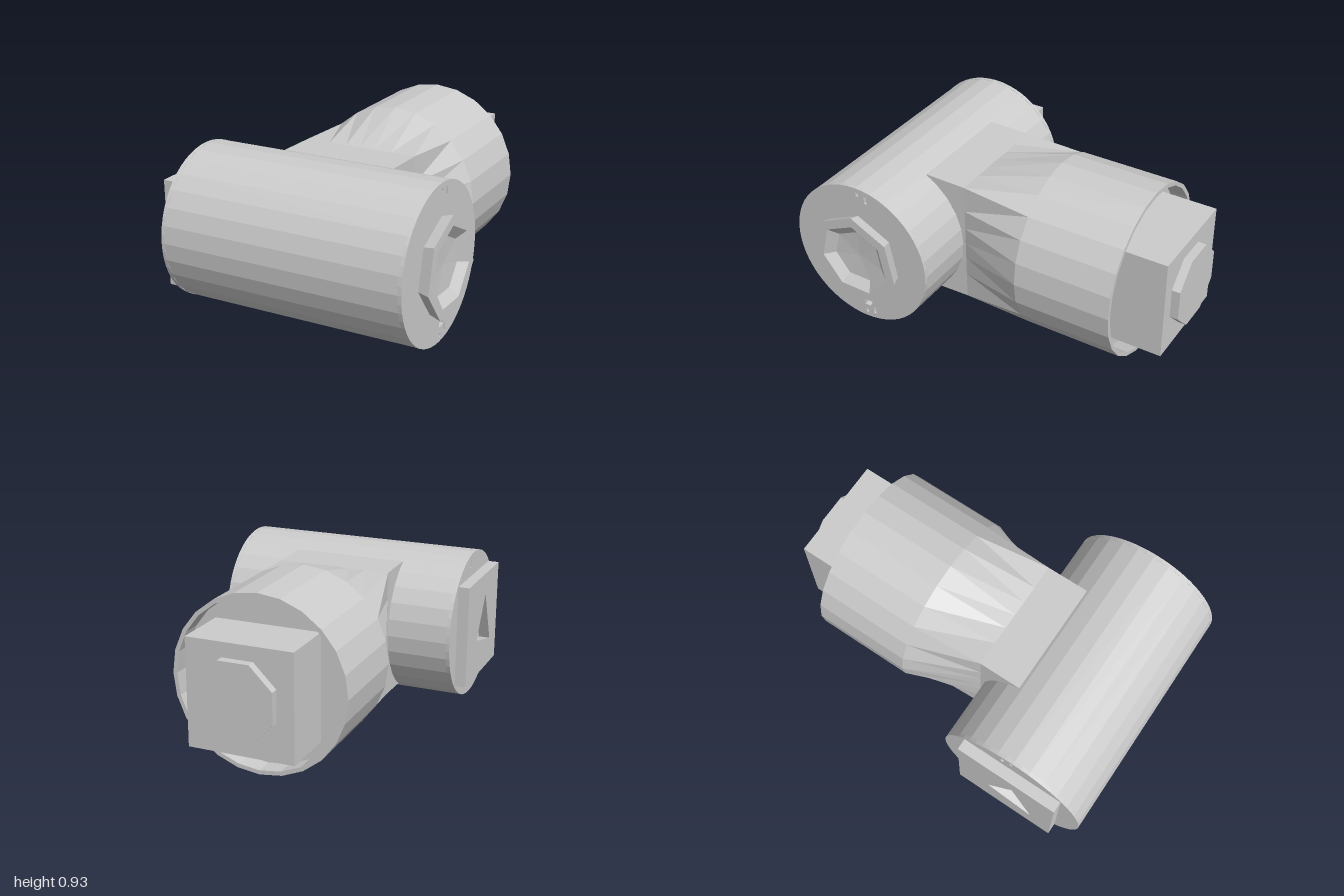
import * as THREE from 'three';

const material = new THREE.MeshStandardMaterial({ color: 0xcccccc, flatShading: true, side: THREE.DoubleSide });
const MID_Y = 0.47, BAR_Z = 0.59, BAR_R = 0.405, BAR_HALF = 0.655;

function add(parent, name, geometry, x = 0, y = 0, z = 0) {
  const mesh = new THREE.Mesh(geometry, material);
  mesh.name = name;
  mesh.position.set(x, y, z);
  parent.add(mesh);
  return mesh;
}

// Closed polygon path from [x, y] corners
const polygon = (points, Type = THREE.Path) => new Type(points.map(([x, y]) => new THREE.Vector2(x, y)));
const rect = (cx, cy, w, h, Type) => polygon(
  [[cx - w / 2, cy - h / 2], [cx + w / 2, cy - h / 2], [cx + w / 2, cy + h / 2], [cx - w / 2, cy + h / 2]], Type);

// Extrudes a shape drawn in (-z, y) along x
function extrudeX(shape, depth) {
  const g = new THREE.ExtrudeGeometry(shape, { depth, bevelEnabled: false, curveSegments: 28 });
  return g.rotateY(Math.PI / 2);
}

// Skin through rings of equal point count, stacked along z
function loft(rings) {
  const n = rings[0].length, positions = [], index = [];
  rings.forEach((ring) => ring.forEach((p) => positions.push(...p)));
  for (let i = 0; i < rings.length - 1; i++) {
    for (let j = 0; j < n; j++) {
      const a = i * n + j, b = i * n + (j + 1) % n;
      index.push(a, b, a + n, b, b + n, a + n);
    }
  }
  const g = new THREE.BufferGeometry();
  g.setAttribute('position', new THREE.Float32BufferAttribute(positions, 3));
  g.setIndex(index);
  g.computeVertexNormals();
  return g;
}

const SIDES = 24;
const ring = (point) => Array.from({ length: SIDES }, (_, i) => {
  const t = (i / SIDES) * Math.PI * 2;
  return point(Math.cos(t), Math.sin(t));
});
const circleRing = (z, r) => ring((c, s) => [c * r, MID_Y + s * r, z]);
const boxRing = (z, hx, hy) => ring((c, s) => {
  const m = Math.max(Math.abs(c), Math.abs(s));
  return [(c / m) * hx, 0.48 + (s / m) * hy, z];
});

export function createModel() {
  const model = new THREE.Group();
  model.name = 'jointHousing';

  // Crosswise drum with slotted end caps
  const drum = new THREE.Group();
  drum.name = 'crossDrum';
  drum.position.set(0, MID_Y, BAR_Z);
  model.add(drum);
  add(drum, 'drumShell',
    new THREE.CylinderGeometry(BAR_R, BAR_R, BAR_HALF * 2, 28, 1, true).rotateZ(-Math.PI / 2));
  const cap = new THREE.Shape().absarc(0, 0, BAR_R, 0, Math.PI * 2);
  for (const side of [1, -1]) {
    cap.holes.push(rect(0.03, side * 0.305, 0.06, 0.05));
    cap.holes.push(rect(0.06, side * 0.35, 0.015, 0.04));
    cap.holes.push(rect(0.01, side * 0.37, 0.015, 0.02));
  }
  const capGeometry = extrudeX(cap, 0.02);
  add(drum, 'leftCap', capGeometry, BAR_HALF - 0.02);
  add(drum, 'rightCap', capGeometry, -BAR_HALF);

  // Dished seven-sided hub on the left end
  const hubProfile = [[0.24, 0], [0.26, 0.06], [0.205, 0.06], [0.15, 0.02], [0, 0.012]]
    .map(([r, h]) => new THREE.Vector2(r, h));
  const hub = new THREE.LatheGeometry(hubProfile, 7, 0.2).rotateZ(-Math.PI / 2);
  add(drum, 'leftHub', hub, BAR_HALF);

  // Square plate with a triangular recess on the right end
  const plate = rect(0, 0, 0.56, 0.56, THREE.Shape);
  plate.holes.push(polygon([[0.1, -0.07], [-0.04, 0.16], [-0.16, -0.135]]));
  add(drum, 'rightPlate', extrudeX(plate, 0.06), -0.715);

  // Rear barrel: recessed open end, round body, taper to a square neck
  add(model, 'rearBarrel', loft([
    circleRing(-0.65, 0), circleRing(-0.65, 0.445),
    circleRing(-0.75, 0.445), circleRing(-0.75, 0.467),
    circleRing(-0.22, 0.467),
    boxRing(0.17, 0.31, 0.345), boxRing(0.4, 0.31, 0.35), boxRing(0.4, 0, 0),
  ]));

  // Square block and eight-sided hub at the rear
  add(model, 'rearBlock', new THREE.BoxGeometry(0.56, 0.56, 0.33), -0.005, MID_Y, -0.79);
  add(model, 'rearHub',
    new THREE.CylinderGeometry(0.215, 0.215, 0.05, 8).rotateY(Math.PI / 8).rotateX(Math.PI / 2),
    0.003, 0.475, -0.975);

  return model;
}
